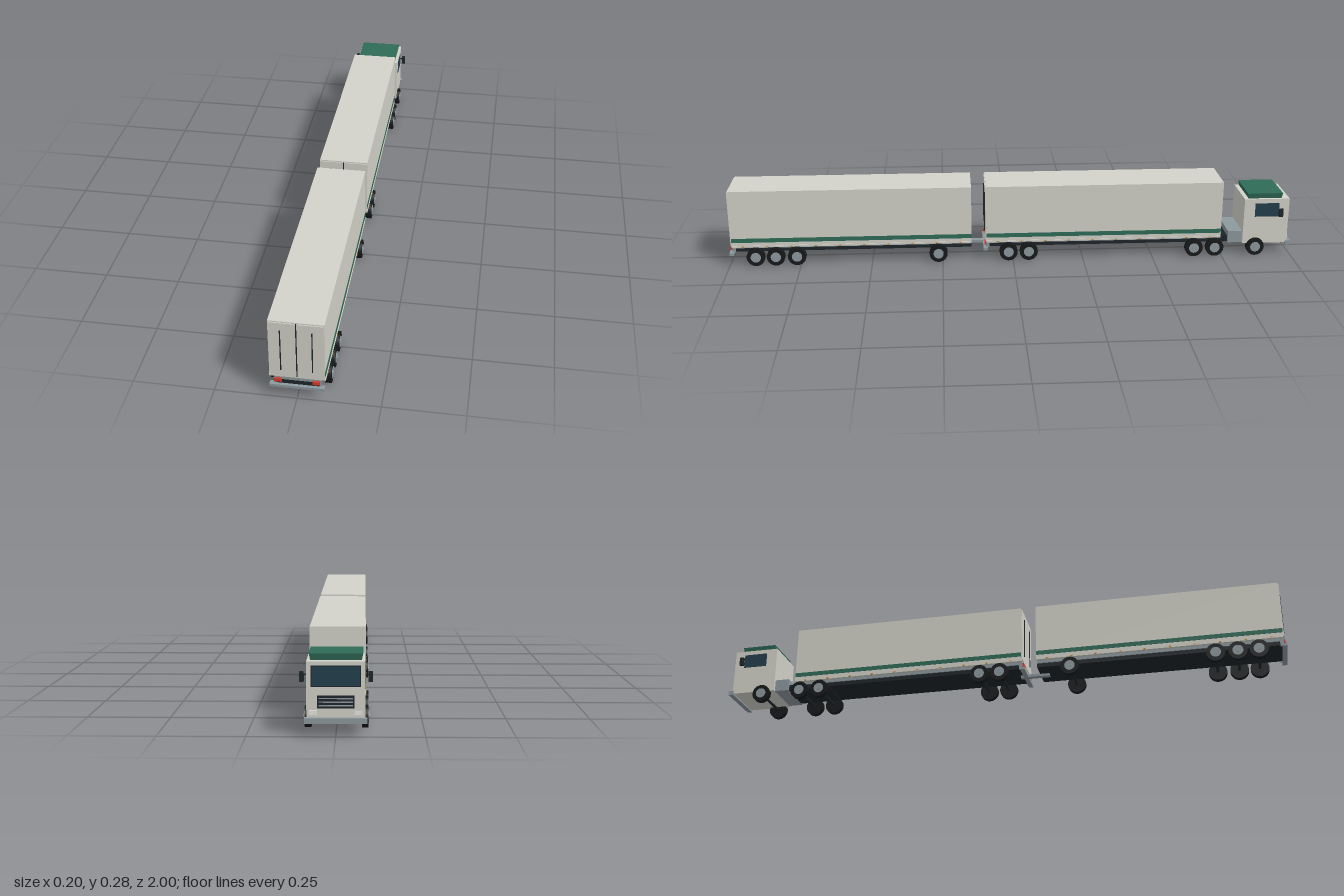
import * as THREE from 'three';

const mat = (color) => new THREE.MeshStandardMaterial({ color });
const M = {
  body: mat(0xd3d3ca), green: mat(0x2f6b57), dark: mat(0x1d2529), tyre: mat(0x16191b),
  steel: mat(0x8d999e), glass: mat(0x223f4d), red: mat(0xd63d2e), amber: mat(0xd9902f), lamp: mat(0xe6e8e0),
};

// Box given by its extents on each axis
function box(parent, name, m, x0, x1, y0, y1, z0, z1) {
  const mesh = new THREE.Mesh(new THREE.BoxGeometry(x1 - x0, y1 - y0, z1 - z0), m);
  mesh.position.set((x0 + x1) / 2, (y0 + y1) / 2, (z0 + z1) / 2);
  mesh.name = name;
  parent.add(mesh);
  return mesh;
}

// Cylinder lying along x
function barrel(parent, name, m, r, width, x, y, z) {
  const geo = new THREE.CylinderGeometry(r, r, width, 24).rotateZ(Math.PI / 2);
  const mesh = new THREE.Mesh(geo, m);
  mesh.position.set(x, y, z);
  mesh.name = name;
  parent.add(mesh);
}

function axle(parent, z) {
  const g = new THREE.Group();
  g.name = 'axle';
  barrel(g, 'axleBeam', M.dark, 0.005, 0.15, 0, 0.032, z);
  for (const s of [-1, 1]) {
    barrel(g, 'tyre', M.tyre, 0.032, 0.019, s * 0.082, 0.032, z);
    barrel(g, 'rim', M.steel, 0.018, 0.003, s * 0.0918, 0.032, z);
    barrel(g, 'hub', M.steel, 0.007, 0.003, s * 0.0935, 0.032, z);
  }
  parent.add(g);
}

// Cargo body from z0 (front) to z1 (rear doors)
function trailer(name, z0, z1, axles) {
  const g = new THREE.Group();
  g.name = name;
  box(g, 'cargoBox', M.body, -0.083, 0.083, 0.07, 0.275, z0, z1);
  box(g, 'chassis', M.dark, -0.066, 0.066, 0.046, 0.06, z0, z1);
  box(g, 'subframe', M.steel, -0.07, 0.07, 0.06, 0.07, z0 + 0.005, z1);
  for (const s of [-1, 1]) {
    // Side stripe and lower rail
    box(g, 'stripe', M.green, s * 0.0835 - 0.001, s * 0.0835 + 0.001, 0.086, 0.101, z0 + 0.001, z1 - 0.001);
    box(g, 'sideRail', M.body, s * 0.0835 - 0.001, s * 0.0835 + 0.001, 0.068, 0.074, z0 + 0.001, z1 - 0.001);
    for (let i = 0; i < 10; i++) {
      const z = z0 + 0.04 + i * (z1 - z0 - 0.08) / 9;
      box(g, 'sideMarker', M.amber, s * 0.085 - 0.001, s * 0.085 + 0.001, 0.069, 0.073, z - 0.004, z + 0.004);
    }
    // Rear door leaf, lock rod and tail light
    const cx = s * 0.0415;
    box(g, 'rearDoor', M.body, cx - 0.0395, cx + 0.0395, 0.074, 0.271, z1, z1 + 0.003);
    box(g, 'lockRod', M.dark, s * 0.047 - 0.0015, s * 0.047 + 0.0015, 0.1, 0.245, z1 + 0.003, z1 + 0.006);
    box(g, 'tailLight', M.red, s * 0.057 - 0.011, s * 0.057 + 0.011, 0.054, 0.066, z1, z1 + 0.006);
    box(g, 'bumperBracket', M.steel, s * 0.066 - 0.004, s * 0.066 + 0.004, 0.044, 0.06, z1 - 0.012, z1);
  }
  box(g, 'doorGap', M.dark, -0.002, 0.002, 0.074, 0.271, z1, z1 + 0.001);
  box(g, 'rearBumper', M.steel, -0.082, 0.082, 0.037, 0.046, z1 - 0.006, z1 + 0.01);
  axles.forEach((z) => axle(g, z));
  return g;
}

function cab() {
  const g = new THREE.Group();
  g.name = 'tractor';
  const zf = -0.987;
  box(g, 'cabBody', M.body, -0.082, 0.082, 0.043, 0.21, zf, -0.826);

  // Roof cap, narrowing slightly towards its base
  const roof = box(g, 'roofCap', M.green, -0.076, 0.076, 0.21, 0.229, -0.963, -0.838);
  const p = roof.geometry.attributes.position;
  for (let i = 0; i < p.count; i++) {
    if (p.getY(i) < 0) p.setXYZ(i, p.getX(i) * 0.95, p.getY(i), p.getZ(i) * 0.95);
  }
  roof.geometry.computeVertexNormals();

  // Front face
  box(g, 'windscreenFrame', M.dark, -0.07, 0.07, 0.139, 0.199, zf - 0.002, zf);
  box(g, 'windscreen', M.glass, -0.067, 0.067, 0.142, 0.196, zf - 0.003, zf);
  box(g, 'grille', M.dark, -0.052, 0.052, 0.078, 0.115, zf - 0.003, zf);
  for (let i = 0; i < 3; i++) {
    box(g, 'grilleBar', M.steel, -0.048, 0.048, 0.085 + i * 0.01, 0.088 + i * 0.01, zf - 0.005, zf);
  }
  box(g, 'frontBumper', M.steel, -0.088, 0.088, 0.037, 0.052, -1, zf + 0.005);
  for (const s of [-1, 1]) {
    box(g, 'headlight', M.lamp, s * 0.063 - 0.011, s * 0.063 + 0.011, 0.06, 0.073, zf - 0.004, zf);
    box(g, 'sideWindow', M.glass, s * 0.0825 - 0.001, s * 0.0825 + 0.001, 0.144, 0.194, -0.951, -0.865);
    box(g, 'mirrorArm', M.dark, s * 0.087 - 0.006, s * 0.087 + 0.006, 0.166, 0.17, -0.957, -0.953);
    box(g, 'mirror', M.dark, s * 0.0965 - 0.006, s * 0.0965 + 0.006, 0.148, 0.177, -0.962, -0.948);
  }

  // Frame behind the cab
  box(g, 'rearDeck', M.steel, -0.072, 0.072, 0.043, 0.086, -0.826, -0.775);
  box(g, 'tractorFrame', M.dark, -0.063, 0.063, 0.044, 0.066, -0.785, -0.62);
  axle(g, -0.872);
  return g;
}

export function createModel() {
  const root = new THREE.Group();
  root.name = 'roadTrain';
  root.add(cab());
  root.add(trailer('firstTrailer', -0.746, 0.095, [-0.725, -0.65, -0.056, 0.016]));
  root.add(trailer('secondTrailer', 0.147, 0.99, [0.265, 0.763, 0.837, 0.907]));
  // Coupling between the trailers
  box(root, 'drawbar', M.steel, -0.009, 0.009, 0.038, 0.048, 0.077, 0.18);
  return root;
}
